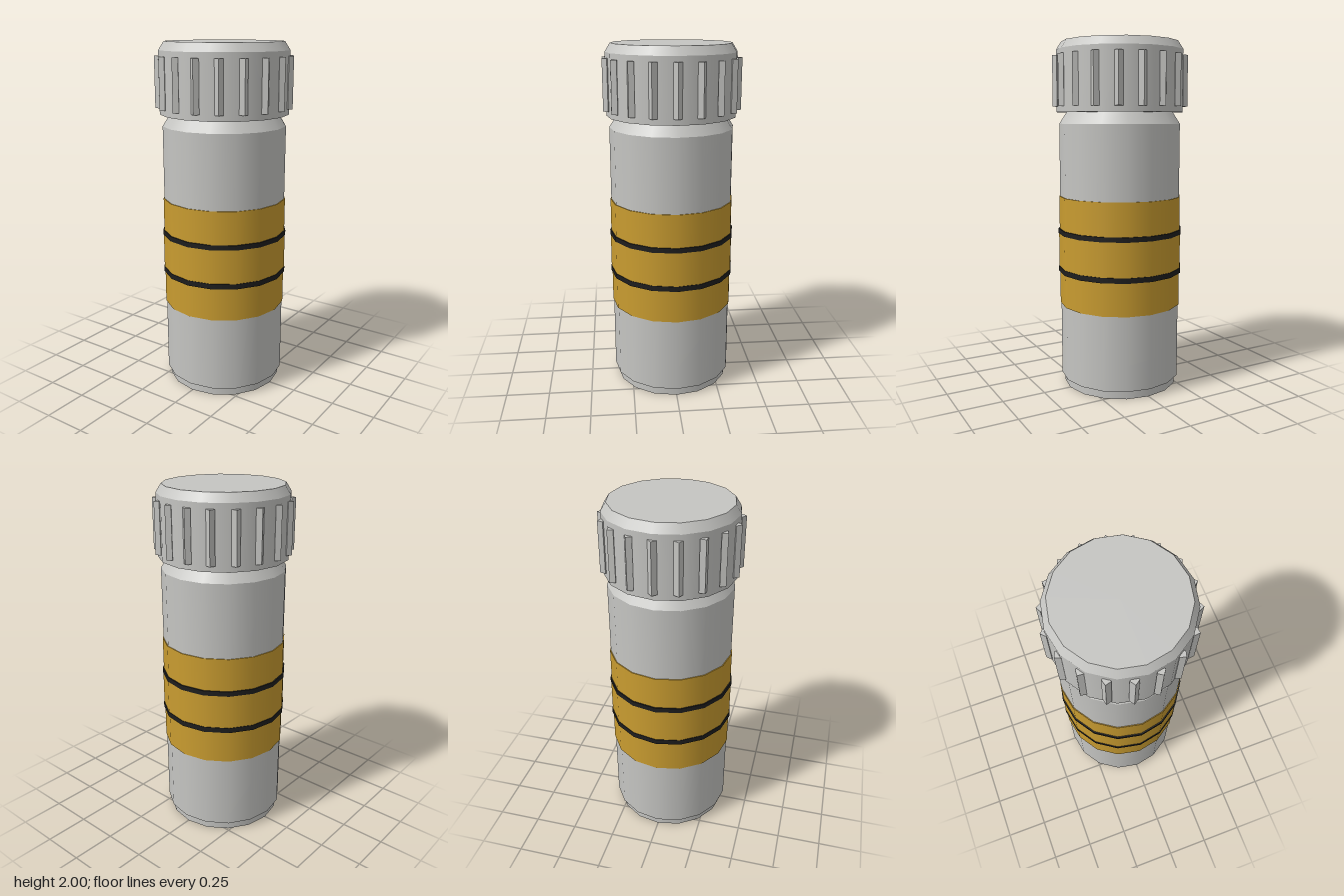
import * as THREE from 'three';

const SIDES = 16;
const grey = new THREE.MeshStandardMaterial({ color: 0xc5c5c2 });
grey.name = 'light grey';
const yellow = new THREE.MeshStandardMaterial({ color: 0xc99c30 });
yellow.name = 'mustard yellow';
const black = new THREE.MeshStandardMaterial({ color: 0x1e1e1e });
black.name = 'black';

export function createModel() {
  const model = new THREE.Group();
  model.name = 'canister';

  // Closed round section between two heights
  function section(name, material, y0, y1, r0, r1 = r0) {
    const mesh = new THREE.Mesh(new THREE.CylinderGeometry(r1, r0, y1 - y0, SIDES), material);
    mesh.position.y = (y0 + y1) / 2;
    mesh.name = name;
    model.add(mesh);
  }

  // Body: recessed foot, straight tube, tapered shoulder
  section('foot', grey, 0, 0.05, 0.335);
  section('body', grey, 0.05, 1.54, 0.352);
  section('shoulder', grey, 1.54, 1.605, 0.352, 0.31);

  // Wrapped label and its two stripes
  section('lowerBand', yellow, 0.485, 0.69, 0.357);
  section('middleBand', yellow, 0.69, 0.918, 0.361);
  section('upperBand', yellow, 0.918, 1.122, 0.357);
  section('lowerStripe', black, 0.676, 0.706, 0.364);
  section('upperStripe', black, 0.904, 0.932, 0.364);

  // Screw cap with a bevelled top
  section('cap', grey, 1.605, 1.953, 0.366);
  section('capBevel', grey, 1.953, 2, 0.366, 0.336);

  // Grip ridges: square bars set corner-outward around the cap
  const ridges = new THREE.Group();
  ridges.name = 'gripRidges';
  const bar = new THREE.BoxGeometry(0.033, 0.285, 0.033);
  for (let i = 0; i < 18; i++) {
    const angle = (i / 18) * Math.PI * 2;
    const ridge = new THREE.Mesh(bar, grey);
    ridge.name = 'gripRidge';
    ridge.position.set(Math.cos(angle) * 0.365, 1.78, Math.sin(angle) * 0.365);
    ridge.rotation.y = Math.PI / 4 - angle;
    ridges.add(ridge);
  }
  model.add(ridges);
  return model;
}
